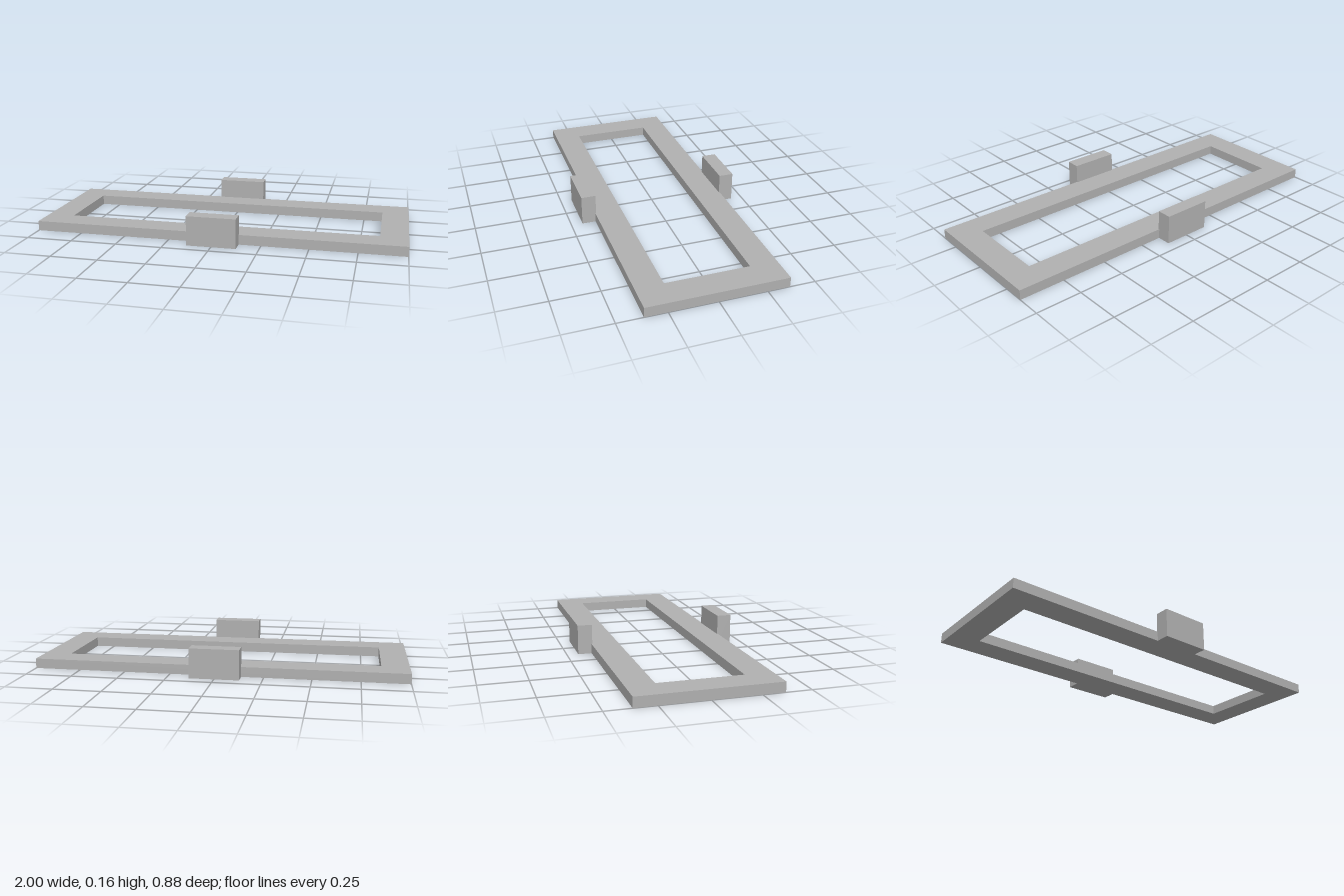
import * as THREE from 'three';

export function createModel() {
  const model = new THREE.Group();
  const grey = new THREE.MeshStandardMaterial({ color: 0xb0b0b0 });
  grey.name = 'plain grey';

  // Corners of a rectangle centred on the origin
  const rectangle = (halfX, halfZ) => [
    new THREE.Vector2(-halfX, -halfZ), new THREE.Vector2(halfX, -halfZ),
    new THREE.Vector2(halfX, halfZ), new THREE.Vector2(-halfX, halfZ),
  ];

  // Flat rectangular frame with an open middle
  const outline = new THREE.Shape(rectangle(1, 0.366));
  outline.holes.push(new THREE.Path(rectangle(0.853, 0.221).reverse()));
  const frameGeometry = new THREE.ExtrudeGeometry(outline, { depth: 0.053, bevelEnabled: false });
  frameGeometry.rotateX(-Math.PI / 2);
  const frame = new THREE.Mesh(frameGeometry, grey);
  frame.name = 'frame';
  model.add(frame);

  // Upright block at the middle of each long side
  const blockGeometry = new THREE.BoxGeometry(0.264, 0.159, 0.078);
  for (const side of [1, -1]) {
    const block = new THREE.Mesh(blockGeometry, grey);
    block.name = side > 0 ? 'frontBlock' : 'backBlock';
    block.position.set(0, 0.0795, side * 0.4);
    model.add(block);
  }

  return model;
}
